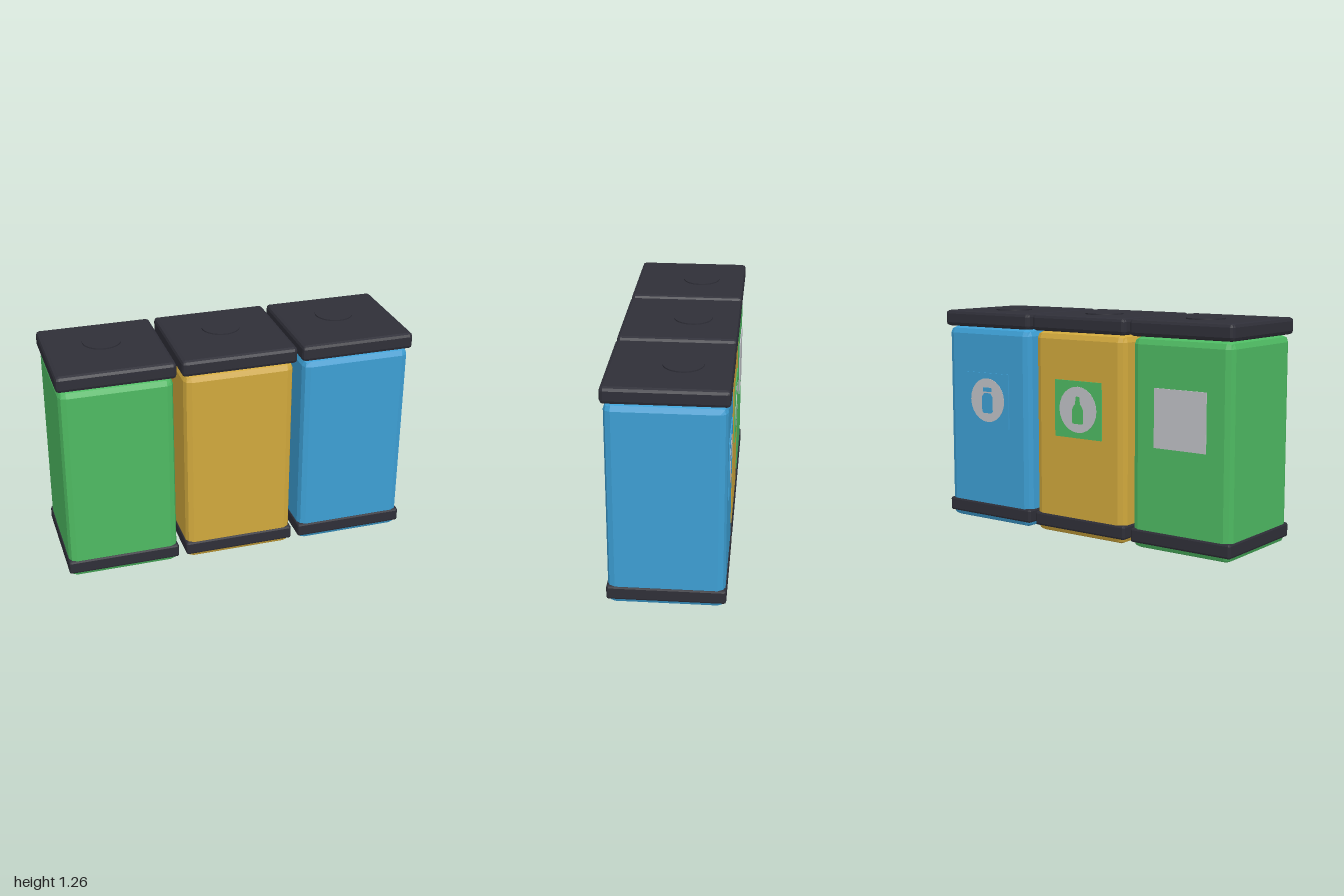
import * as THREE from 'three';
import { RoundedBoxGeometry } from 'three/addons/geometries/RoundedBoxGeometry.js';

function paint(name, color) {
  const m = new THREE.MeshStandardMaterial({ color });
  m.name = name;
  return m;
}

function add(parent, name, geometry, material, x = 0, y = 0, z = 0) {
  const mesh = new THREE.Mesh(geometry, material);
  mesh.name = name;
  mesh.position.set(x, y, z);
  parent.add(mesh);
  return mesh;
}

// Box with faceted bevels, spanning y0 to y1
function bevelBox(size, y0, y1, radius) {
  const g = new RoundedBoxGeometry(size, y1 - y0, size, 1, radius);
  g.computeVertexNormals();
  g.translate(0, (y0 + y1) / 2, 0);
  return g;
}

// Symmetric outline from its right-hand half, listed bottom to top
function mirrored(half) {
  const left = half.map(([x, y]) => [-x, y]).reverse();
  return new THREE.Shape([...half, ...left].map(([x, y]) => new THREE.Vector2(x, y)));
}

const plate = (shape, depth) => new THREE.ExtrudeGeometry(shape, { depth, bevelEnabled: false });

// Wide jar with a separate cap
const jar = [
  mirrored([[0.03, -0.077], [0.041, -0.066], [0.041, 0.02], [0.024, 0.042]]),
  mirrored([[0.03, 0.05], [0.034, 0.054], [0.034, 0.071], [0.03, 0.075]]),
];

// Slim-necked bottle
const bottle = [
  mirrored([[0.032, -0.08], [0.039, -0.073], [0.039, -0.005], [0.032, 0.014],
    [0.016, 0.034], [0.014, 0.07], [0.01, 0.074]]),
];

export function createModel() {
  const green = paint('green', 0x4eba62);
  const yellow = paint('yellow', 0xd0a83c);
  const blue = paint('blue', 0x3d9fd4);
  const dark = paint('charcoal', 0x2f2f38);
  const grey = paint('light grey', 0xc0c2c7);

  const bins = [
    { name: 'greenBin', x: -0.675, body: green, panel: grey, icon: [] },
    { name: 'yellowBin', x: 0, body: yellow, panel: green, icon: bottle },
    { name: 'blueBin', x: 0.675, body: blue, panel: blue, icon: jar },
  ];

  const bodyGeo = bevelBox(0.62, 0, 1.157, 0.04);
  const bandGeo = bevelBox(0.632, 0.03, 0.11, 0.012);
  const lidGeo = bevelBox(0.646, 1.158, 1.25, 0.02);
  const discGeo = new THREE.CylinderGeometry(0.107, 0.107, 0.012, 32);
  const panelGeo = new THREE.BoxGeometry(0.325, 0.322, 0.009);
  const roundGeo = plate(new THREE.Shape().absarc(0, 0, 0.13, 0, Math.PI * 2), 0.002);

  const model = new THREE.Group();
  model.name = 'recyclingBins';
  for (const { name, x, body, panel, icon } of bins) {
    const bin = new THREE.Group();
    bin.name = name;
    bin.position.x = x;
    model.add(bin);

    add(bin, 'body', bodyGeo, body);
    add(bin, 'baseBand', bandGeo, dark);
    add(bin, 'lid', lidGeo, dark);
    add(bin, 'lidDisc', discGeo, dark, 0, 1.251, -0.067);

    // Label on the back
    const label = new THREE.Group();
    label.name = 'label';
    label.position.set(0, 0.73, -0.309);
    label.rotation.y = Math.PI;
    bin.add(label);
    add(label, 'panel', panelGeo, panel, 0, 0, 0.0025);
    if (icon.length) {
      add(label, 'roundel', roundGeo, grey, 0, 0, 0.0065);
      for (const shape of icon) add(label, 'containerIcon', plate(shape, 0.002), panel, 0, 0, 0.008);
    }
  }
  return model;
}
